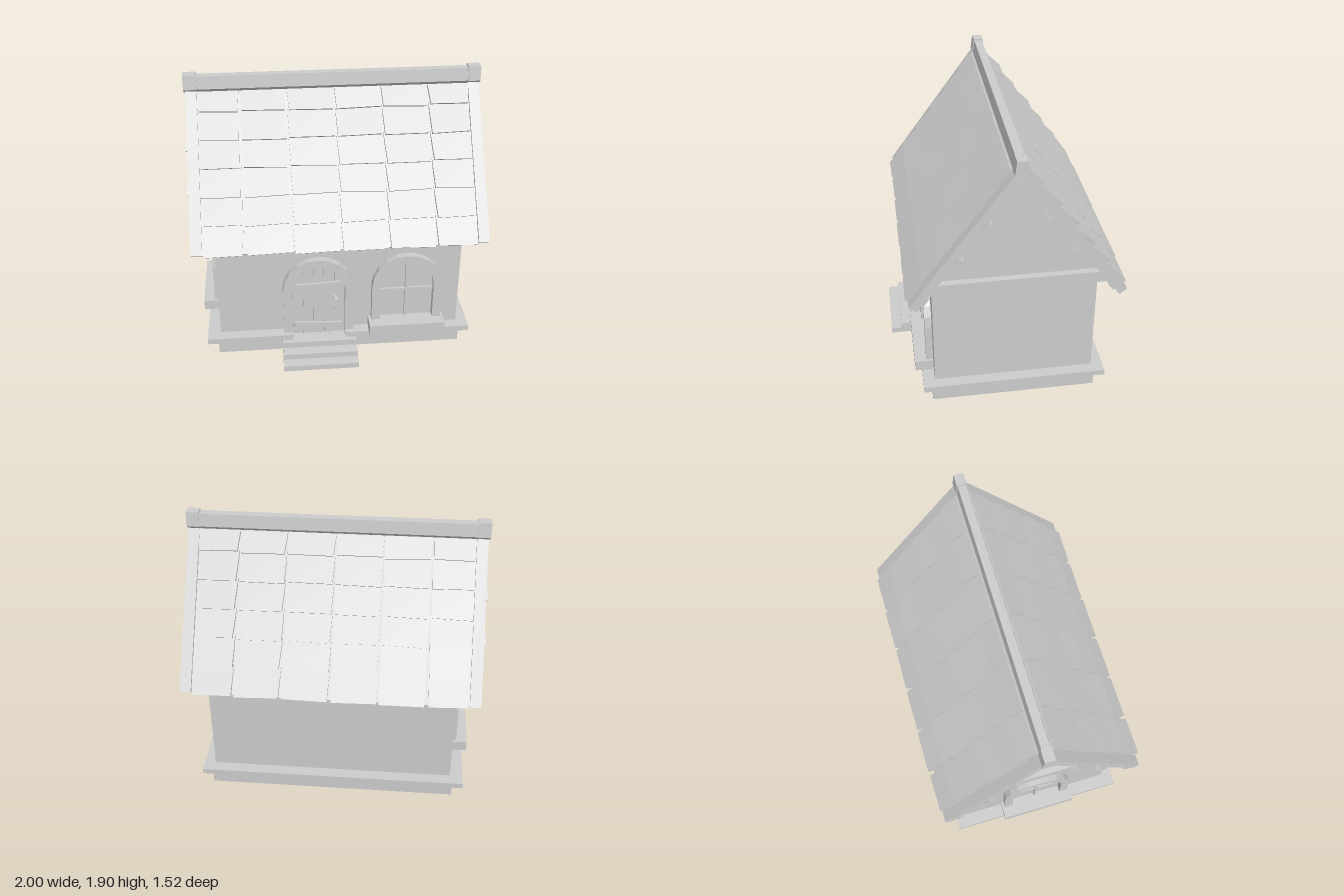
import * as THREE from 'three';

const MID = -0.04;               // z of the ridge
const PITCH = Math.atan(1.36);   // roof slope
const APEX = 1.755;              // underside of the roof at the ridge

const material = new THREE.MeshStandardMaterial({ color: 0xcccccc, flatShading: true });

function add(parent, name, geometry) {
  const mesh = new THREE.Mesh(geometry, material);
  mesh.name = name;
  parent.add(mesh);
  return mesh;
}

// Box given by its limits on each axis
function box(parent, name, x0, x1, y0, y1, z0, z1) {
  const mesh = add(parent, name, new THREE.BoxGeometry(x1 - x0, y1 - y0, z1 - z0));
  mesh.position.set((x0 + x1) / 2, (y0 + y1) / 2, (z0 + z1) / 2);
  return mesh;
}

const shapeOf = (points) => new THREE.Shape(points.map(([x, y]) => new THREE.Vector2(x, y)));

function extrude(shape, depth) {
  return new THREE.ExtrudeGeometry(shape, { depth, bevelEnabled: false });
}

// Profile in (z, y), extruded along x between two limits
function alongX(parent, name, points, x0, x1) {
  const geometry = extrude(shapeOf(points), x1 - x0);
  geometry.rotateY(-Math.PI / 2).translate(x1, 0, 0);
  return add(parent, name, geometry);
}

// Small seeded generator for the hand-made look
let seed = 7;
function jitter(amount) {
  seed = (seed * 16807) % 2147483647;
  return (seed / 2147483647 - 0.5) * 2 * amount;
}

// Arched surround standing on y = bottom, centred on x = 0
const SPRING = 0.515, OUTER = 0.245, INNER = 0.185;
function archFrame(parent, name, bottom) {
  const points = [[OUTER, bottom]];
  const n = 10;
  for (let i = 0; i <= n; i++) {
    const a = (i / n) * Math.PI;
    points.push([OUTER * Math.cos(a), SPRING + OUTER * Math.sin(a)]);
  }
  points.push([-OUTER, bottom], [-INNER, bottom]);
  for (let i = n; i >= 0; i--) {
    const a = (i / n) * Math.PI;
    points.push([INNER * Math.cos(a), SPRING + INNER * Math.sin(a)]);
  }
  points.push([INNER, bottom]);
  add(parent, name, extrude(shapeOf(points), 0.047));
}

// Window lying on the plane z = 0, facing +z
function makeWindow(name) {
  const g = new THREE.Group();
  g.name = name;
  archFrame(g, 'windowFrame', 0.24);
  box(g, 'windowSill', -0.265, 0.265, 0.165, 0.24, 0, 0.125);
  box(g, 'verticalBar', -0.011, 0.011, 0.24, 0.7, 0, 0.02);
  box(g, 'horizontalBar', -INNER, INNER, 0.455, 0.477, 0, 0.017);
  return g;
}

function makeDoor() {
  const g = new THREE.Group();
  g.name = 'door';
  archFrame(g, 'doorFrame', 0.125);
  // Planks, cut to the arch at the top
  const r = 0.18, count = 5, w = (2 * r) / count;
  const top = (x) => SPRING + Math.sqrt(Math.max(0, r * r - x * x));
  for (let i = 0; i < count; i++) {
    const x0 = -r + i * w + 0.004, x1 = x0 + w - 0.008;
    const points = [[x0 + jitter(0.004), 0.13], [x1 + jitter(0.004), 0.13]];
    for (let k = 4; k >= 0; k--) {
      const x = x0 + ((x1 - x0) * k) / 4;
      points.push([x, top(x)]);
    }
    add(g, 'doorPlank', extrude(shapeOf(points), 0.015 + jitter(0.003)));
  }
  // Crooked cross boards
  box(g, 'upperCrossBoard', -0.16, 0.16, 0.525, 0.56, 0.01, 0.032).rotation.z = 0.05;
  box(g, 'lowerCrossBoard', -0.165, 0.165, 0.19, 0.228, 0.01, 0.032).rotation.z = -0.06;
  // Handle
  box(g, 'handleGrip', 0.107, 0.133, 0.325, 0.455, 0.068, 0.085);
  for (const y of [0.335, 0.425]) box(g, 'handleMount', 0.11, 0.13, y, y + 0.02, 0.01, 0.07);
  return g;
}

// Tapered tile that lifts towards its lower end
function makeTile(parent, x0, x1, s0, s1, lift0, lift1) {
  const geometry = new THREE.BoxGeometry(1, 1, 1);
  const p = geometry.attributes.position;
  const pinch = [0.012 + jitter(0.005), 0.012 + jitter(0.005)];
  const ends = [s1 + jitter(0.007), s1 + jitter(0.007)];
  const rise = jitter(0.004);
  for (let i = 0; i < p.count; i++) {
    const right = p.getX(i) > 0 ? 1 : 0, low = p.getZ(i) > 0, upper = p.getY(i) > 0;
    const inset = low ? pinch[right] : 0.002;
    const height = (low ? lift1 + rise : lift0) - (upper ? 0 : 0.027);
    p.setXYZ(i, right ? x1 - inset : x0 + inset, height, low ? ends[right] : s0);
  }
  geometry.computeVertexNormals();
  add(parent, 'roofTile', geometry);
}

// One roof slope: local z runs down the slope, local y points outwards
function makeSlope(name) {
  const g = new THREE.Group();
  g.name = name;
  const length = 1.09;
  box(g, 'roofDeck', -0.915, 0.915, 0, 0.04, 0, length);
  for (const side of [-1, 1]) {
    const mid = side * 0.949;
    box(g, 'bargeBoard', mid - 0.037, mid + 0.037, 0, 0.06, 0, length);
  }
  for (const s of [0.355, 0.655]) box(g, 'purlin', -1, 1, -0.03, 0.012, s - 0.033, s + 0.033);
  box(g, 'eavePurlin', -0.99, 0.99, -0.012, 0.012, 0.97, 1.03);
  // Tiles
  const columns = [-0.912, -0.635, -0.32, 0, 0.315, 0.632, 0.912];
  for (let row = 0; row < 6; row++) {
    const tip = 0.15 + 0.19 * row;
    for (let c = 0; c < 6; c++) {
      makeTile(g, columns[c], columns[c + 1], Math.max(0.005, tip - 0.21), tip,
        row ? 0.053 : 0.065, row < 5 ? 0.087 : 0.075);
    }
  }
  g.rotation.x = PITCH;
  return g;
}

export function createModel() {
  const house = new THREE.Group();
  house.name = 'cottage';

  // Foundation and a ledge notched at the doorway
  box(house, 'foundation', -0.86, 0.855, 0, 0.125, -0.6, 0.52);
  const ledge = extrude(shapeOf([
    [-0.93, 0.66], [-0.93, -0.58], [-0.335, -0.58], [-0.335, -0.49],
    [0.035, -0.49], [0.035, -0.58], [0.912, -0.58], [0.912, 0.66],
  ]), 0.04);
  ledge.rotateX(-Math.PI / 2).translate(0, 0.125, 0);
  add(house, 'ledge', ledge);

  // Steps
  [0.765, 0.69, 0.613].forEach((z, i) =>
    box(house, 'step', -0.41, 0.11, i * 0.04, (i + 1) * 0.04 + (i === 2 ? 0.004 : 0), 0.5, z));

  // Walls with gables, and the tie beam across them
  alongX(house, 'walls', [
    [-0.58, 0.125], [0.5, 0.125], [0.5, 1.015], [MID, 1.75], [-0.58, 1.015],
  ], -0.84, 0.835);
  for (const [x0, x1] of [[-0.88, -0.82], [0.82, 0.88]]) {
    alongX(house, 'tieBeam', [
      [MID - 0.62, 0.905], [MID + 0.62, 0.905], [MID + 0.566, 0.985], [MID - 0.566, 0.985],
    ], x0, x1);
  }

  // Door and windows
  const door = makeDoor();
  door.position.set(-0.152, 0, 0.5);
  const frontWindow = makeWindow('frontWindow');
  frontWindow.position.set(0.465, 0, 0.5);
  const sideWindow = makeWindow('sideWindow');
  sideWindow.position.set(-0.84, 0, MID);
  sideWindow.rotation.y = -Math.PI / 2;
  house.add(door, frontWindow, sideWindow);

  // Roof slopes
  const roof = new THREE.Group();
  roof.name = 'roof';
  for (const [name, turn] of [['frontSlope', 0], ['backSlope', Math.PI]]) {
    const holder = new THREE.Group();
    holder.name = name + 'Holder';
    holder.add(makeSlope(name));
    holder.position.set(0, APEX, MID);
    holder.rotation.y = turn;
    roof.add(holder);
  }

  // Ridge with larger end caps
  const ridge = (name, half, topHalf, top, x0, x1) => alongX(roof, name, [
    [MID, APEX + 0.01], [MID + half, 1.798], [MID + topHalf, top],
    [MID - topHalf, top], [MID - half, 1.798],
  ], x0, x1);
  ridge('ridgeBeam', 0.04, 0.028, 1.885, -0.92, 0.92);
  ridge('ridgeCap', 0.046, 0.034, 1.897, -1, -0.915);
  ridge('ridgeCap', 0.046, 0.034, 1.897, 0.915, 1);
  house.add(roof);

  return house;
}
